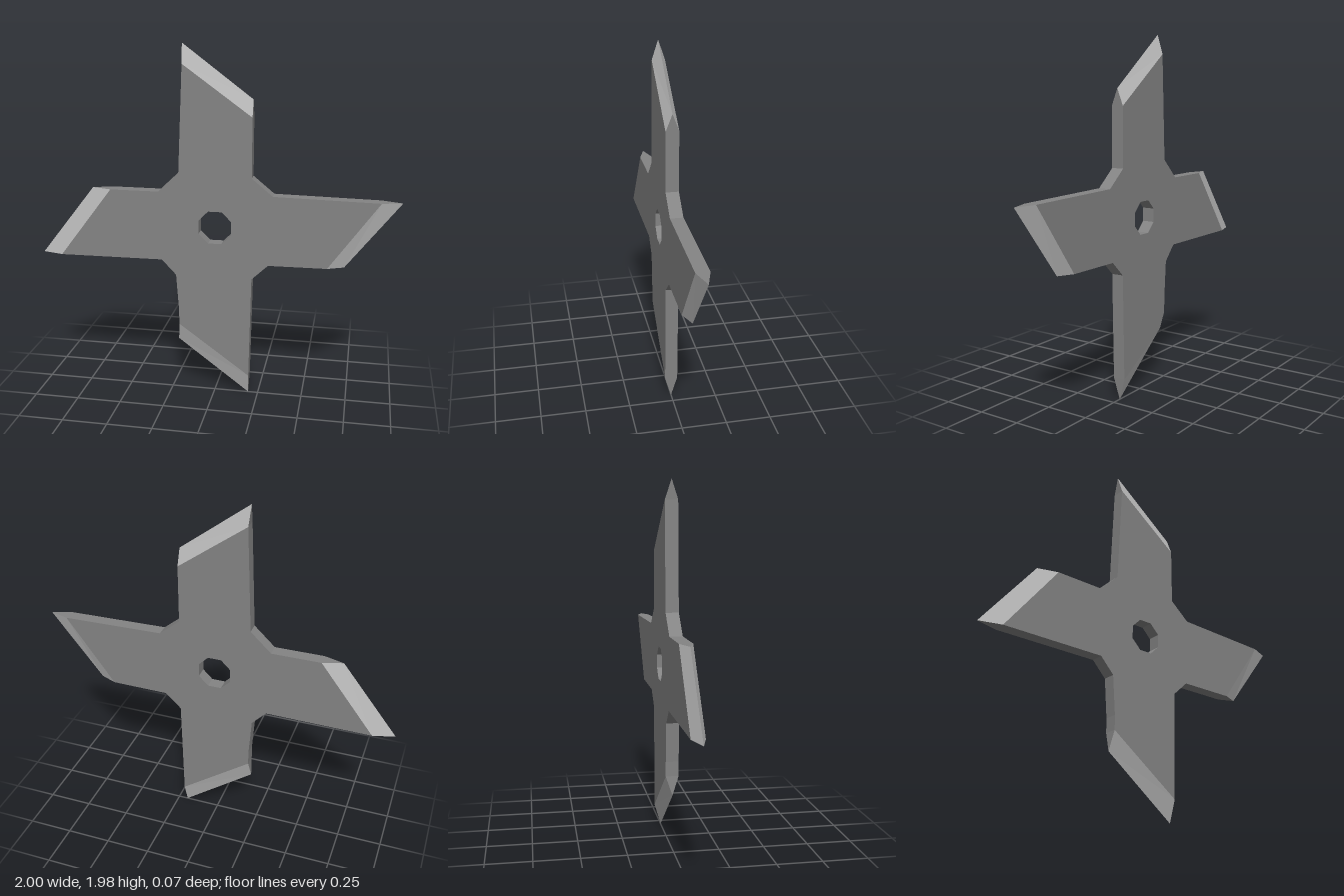
import * as THREE from 'three';

const HALF = 0.035; // half the plate thickness

// Each blade, clockwise: base edge (a, b), sharpened edge (ta, tb), then the notch to the next blade
const BLADES = [
  { name: 'topEdge', a: [-0.17, 1.88], b: [0.205, 1.61], ta: [-0.175, 1.985], tb: [0.205, 1.7],
    notch: [[0.205, 1.285], [0.32, 1.19]] },
  { name: 'leftEdge', a: [0.89, 1.18], b: [0.62, 0.803], ta: [1, 1.178], tb: [0.71, 0.805],
    notch: [[0.3, 0.8], [0.21, 0.715]] },
  { name: 'bottomEdge', a: [0.199, 0.13], b: [-0.2, 0.42], ta: [0.195, 0.01], tb: [-0.21, 0.315],
    notch: [[-0.2, 0.5], [-0.215, 0.715], [-0.295, 0.8]] },
  { name: 'rightEdge', a: [-0.88, 0.796], b: [-0.58, 1.19], ta: [-1, 0.795], tb: [-0.69, 1.19],
    notch: [[-0.31, 1.19], [-0.195, 1.3]] },
];

// Flat plate with an octagonal hole
function plateGeometry() {
  const toPoint = ([x, y]) => new THREE.Vector2(x, y);
  const shape = new THREE.Shape(BLADES.flatMap(({ a, b, notch }) => [a, b, ...notch]).map(toPoint));
  const hole = [];
  for (let i = 0; i < 8; i++) {
    const t = (i + 0.5) * Math.PI / 4;
    hole.push(new THREE.Vector2(0.005 + 0.098 * Math.cos(t), 1 + 0.098 * Math.sin(t)));
  }
  shape.holes.push(new THREE.Path(hole));
  return new THREE.ExtrudeGeometry(shape, { depth: 2 * HALF, bevelEnabled: false }).translate(0, 0, -HALF);
}

// Wedge from a base edge to a sharp edge: ground slopes, then plain ends
function wedgeGeometry({ a, b, ta, tb }) {
  const af = [...a, HALF], ab = [...a, -HALF];
  const bf = [...b, HALF], bb = [...b, -HALF];
  const p = [...ta, 0], q = [...tb, 0];
  const corners = [
    af, bf, q, af, q, p,
    ab, p, q, ab, q, bb,
    ab, af, p,
    bf, bb, q,
  ];
  const geometry = new THREE.BufferGeometry();
  geometry.setAttribute('position', new THREE.Float32BufferAttribute(corners.flat(), 3));
  geometry.addGroup(0, 12, 0);
  geometry.addGroup(12, 6, 1);
  geometry.computeVertexNormals();
  return geometry;
}

export function createModel() {
  const darkSteel = new THREE.MeshStandardMaterial({ color: 0x848484 });
  darkSteel.name = 'darkSteel';
  const groundSteel = new THREE.MeshStandardMaterial({ color: 0xbababa });
  groundSteel.name = 'groundSteel';

  const model = new THREE.Group();
  model.name = 'throwingStar';

  const plate = new THREE.Mesh(plateGeometry(), darkSteel);
  plate.name = 'plate';
  model.add(plate);

  // Sharpened blade ends
  for (const blade of BLADES) {
    const edge = new THREE.Mesh(wedgeGeometry(blade), [groundSteel, darkSteel]);
    edge.name = blade.name;
    model.add(edge);
  }
  return model;
}
